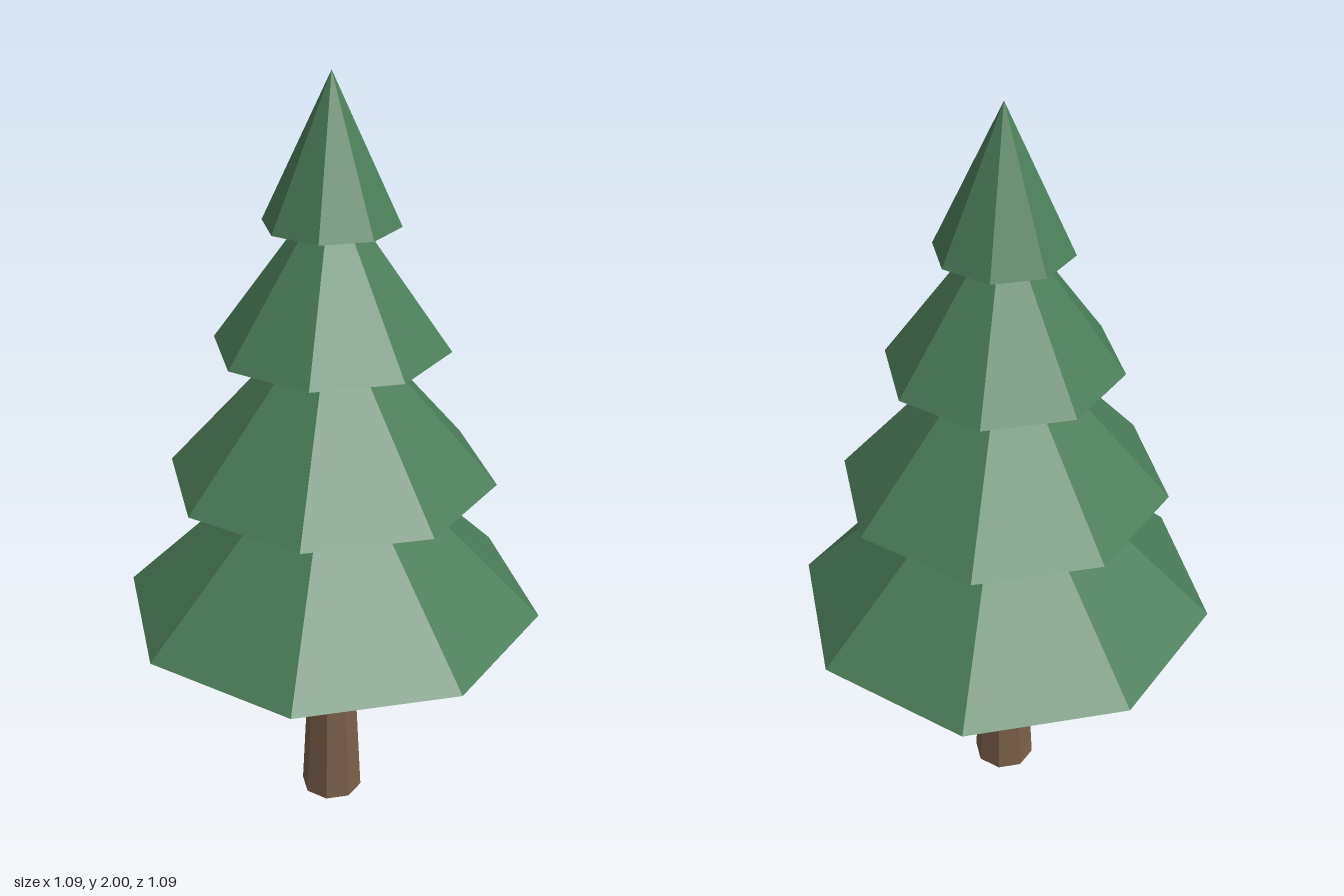
import * as THREE from 'three';

const SIDES = 8;

export function createModel() {
  const tree = new THREE.Group();
  tree.name = 'pineTree';

  const bark = new THREE.MeshStandardMaterial({ color: 0x7a5f4a, flatShading: true });
  bark.name = 'bark brown';
  const needles = new THREE.MeshStandardMaterial({ color: 0x4a7c59, flatShading: true });
  needles.name = 'needle green';

  // Tapered trunk, reaching just inside the lowest tier
  const trunkHeight = 0.66;
  const trunk = new THREE.Mesh(
    new THREE.CylinderGeometry(0.05, 0.083, trunkHeight, SIDES), bark);
  trunk.name = 'trunk';
  trunk.position.y = trunkHeight / 2;
  tree.add(trunk);

  // Overlapping cones of foliage: base radius, base height, tip height
  const tiers = [
    [0.547, 0.617, 1.155],
    [0.42, 0.99, 1.465],
    [0.295, 1.34, 1.75],
    [0.168, 1.645, 2.0],
  ];
  tiers.forEach(([radius, base, tip], i) => {
    const tier = new THREE.Mesh(
      new THREE.ConeGeometry(radius, tip - base, SIDES), needles);
    tier.name = `foliageTier${i + 1}`;
    tier.position.y = (base + tip) / 2;
    tree.add(tier);
  });

  return tree;
}
